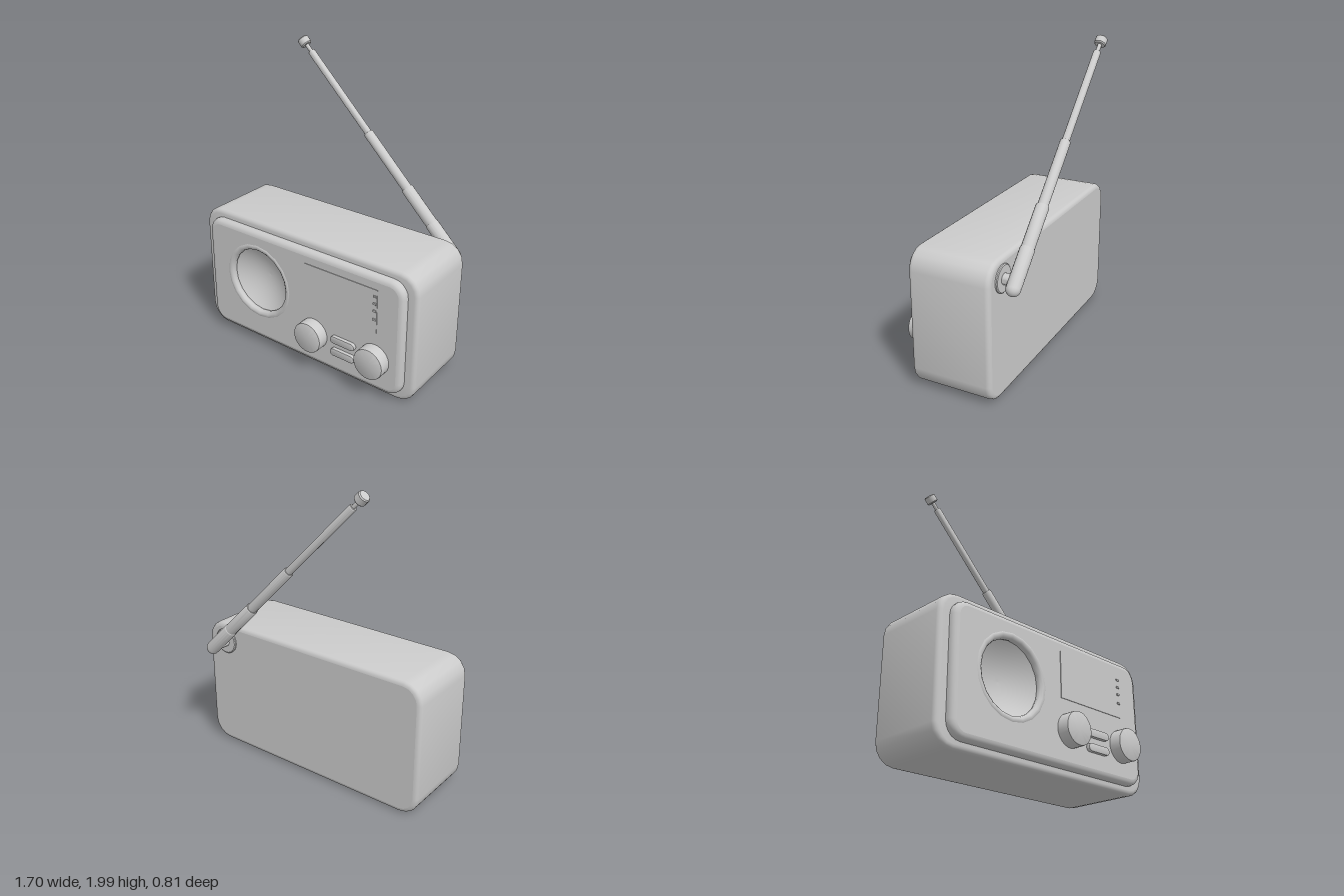
import * as THREE from 'three';
import { toCreasedNormals } from 'three/addons/utils/BufferGeometryUtils.js';

const grey = new THREE.MeshStandardMaterial({ color: 0xcccccc });
const greyDouble = new THREE.MeshStandardMaterial({ color: 0xcccccc, side: THREE.DoubleSide });
const CY = 0.45; // height of the cabinet centre

function add(parent, name, geometry, x = 0, y = 0, z = 0, material = grey) {
  const mesh = new THREE.Mesh(geometry, material);
  mesh.name = name;
  mesh.position.set(x, y, z);
  parent.add(mesh);
  return mesh;
}

// Counter-clockwise rounded rectangle, centred on the origin
function roundedRect(w, h, r, steps) {
  const points = [];
  [[1, 1], [-1, 1], [-1, -1], [1, -1]].forEach(([sx, sy], corner) => {
    for (let i = 0; i <= steps; i++) {
      const a = (corner + i / steps) * Math.PI / 2;
      points.push(new THREE.Vector2(
        sx * (w / 2 - r) + r * Math.cos(a), sy * (h / 2 - r) + r * Math.sin(a)));
    }
  });
  return points;
}

// Side wall through rounded rectangles given as [inset, z], from back to front
function wall(w, h, r, steps, sections) {
  const pos = [], index = [];
  const n = 4 * (steps + 1);
  sections.forEach(([inset, z], s) => {
    const ring = roundedRect(w - 2 * inset, h - 2 * inset, Math.max(r - inset, 0.01), steps);
    ring.forEach((p, j) => {
      pos.push(p.x, p.y, z);
      if (s === 0) return;
      const k = (j + 1) % n, a = (s - 1) * n, b = s * n;
      index.push(a + j, a + k, b + k, a + j, b + k, b + j);
    });
  });
  const g = new THREE.BufferGeometry();
  g.setAttribute('position', new THREE.Float32BufferAttribute(pos, 3));
  g.setIndex(index);
  return toCreasedNormals(g, 0.7);
}

// Quarter-round edge that ends on the front (or starts on the back)
function edge(r, z, front) {
  return Array.from({ length: 5 }, (_, i) => {
    const a = (front ? i : 4 - i) / 4 * Math.PI / 2;
    return [r * (1 - Math.cos(a)), z + (front ? 1 : -1) * r * Math.sin(a)];
  });
}

// Turned part from [radius, height] pairs, along y
function turned(profile, sides) {
  const g = new THREE.LatheGeometry(profile.map(([r, y]) => new THREE.Vector2(r, y)), sides);
  return toCreasedNormals(g, 0.6);
}

export function createModel() {
  const model = new THREE.Group();
  model.name = 'radio';

  // Cabinet: rounded box whose front is closed by the panel
  const cabinet = new THREE.Group();
  cabinet.name = 'cabinet';
  cabinet.position.y = CY;
  model.add(cabinet);
  add(cabinet, 'cabinetShell', wall(1.7, 0.9, 0.13, 4,
    [...edge(0.03, -0.24, false), ...edge(0.03, 0.24, true), [0.1, 0.27]]));
  const back = new THREE.ShapeGeometry(new THREE.Shape(roundedRect(1.64, 0.84, 0.1, 4)));
  add(cabinet, 'cabinetBack', back.rotateY(Math.PI), 0, 0, -0.27);

  // Front panel with a round speaker opening
  const sx = -0.35, sy = 0.49;
  add(cabinet, 'panelRim', wall(1.56, 0.8, 0.1, 5, [[0, 0.26], ...edge(0.035, 0.285, true)]));
  const face = new THREE.Shape(roundedRect(1.49, 0.73, 0.065, 5));
  const hole = new THREE.Path();
  hole.absarc(sx, sy - CY, 0.255, 0, Math.PI * 2, true);
  face.holes.push(hole);
  add(cabinet, 'panelFace', new THREE.ShapeGeometry(face, 24), 0, 0, 0.32);

  // Speaker: ring and concave bowl
  add(model, 'speakerRing', new THREE.TorusGeometry(0.254, 0.027, 10, 20), sx, sy, 0.298);
  const bowl = [];
  for (let i = 0; i <= 8; i++) {
    const r = 0.256 * (1 - i / 8);
    bowl.push(new THREE.Vector2(r, -0.1 * (1 - (r / 0.256) ** 2)));
  }
  add(model, 'speakerBowl', new THREE.LatheGeometry(bowl, 32).rotateX(Math.PI / 2),
    sx, sy, 0.295, greyDouble);

  // Display with small tuning marks at its right edge
  add(model, 'display', new THREE.BoxGeometry(0.55, 0.3, 0.01), 0.325, 0.615, 0.319);
  for (const y of [0.72, 0.67, 0.62, 0.56]) {
    add(model, 'tuningMark', new THREE.BoxGeometry(0.022, 0.012, 0.012), 0.585, y, 0.325);
  }

  // Knobs
  for (const x of [0.12, 0.59]) {
    const knob = turned([[0.105, 0], [0.105, 0.07], [0.103, 0.077], [0.097, 0.08], [0, 0.08]], 32);
    add(model, 'knob', knob.rotateX(Math.PI / 2), x, 0.275, 0.32);
  }

  // Pill-shaped buttons
  const pill = new THREE.Shape(roundedRect(0.18, 0.044, 0.0219, 6));
  for (const y of [0.3, 0.208]) {
    const button = new THREE.ExtrudeGeometry(pill, {
      depth: 0.02, bevelThickness: 0.004, bevelSize: 0.003, bevelSegments: 2 });
    add(model, 'button', toCreasedNormals(button, 0.6), 0.357, y, 0.32);
  }

  // Antenna mount on the back
  const mount = turned([[0, 0], [0.035, 0], [0.035, 0.07], [0.082, 0.07], [0.088, 0.075], [0.088, 0.09]], 24);
  add(model, 'antennaMount', mount.rotateX(Math.PI / 2), 0.69, 0.775, -0.353);

  // Telescopic antenna leaning to the right
  const antenna = new THREE.Group();
  antenna.name = 'antenna';
  antenna.position.set(0.73, 0.745, -0.36);
  antenna.rotation.z = Math.PI / 4;
  model.add(antenna);
  add(antenna, 'antennaFoot', new THREE.SphereGeometry(0.045, 16, 12));
  [[0.045, 0, 0.255], [0.041, 0.25, 0.53], [0.033, 0.52, 0.97], [0.024, 0.96, 1.63], [0.013, 1.62, 1.7]]
    .forEach(([r, from, to]) => {
      const tube = turned([[0, from], [r, from], [r, to - 0.006], [r - 0.004, to], [0, to]], 16);
      add(antenna, 'antennaSection', tube);
    });
  add(antenna, 'antennaTip', turned(
    [[0, 1.68], [0.032, 1.68], [0.038, 1.687], [0.038, 1.728], [0.032, 1.735], [0, 1.735]], 16));

  return model;
}
